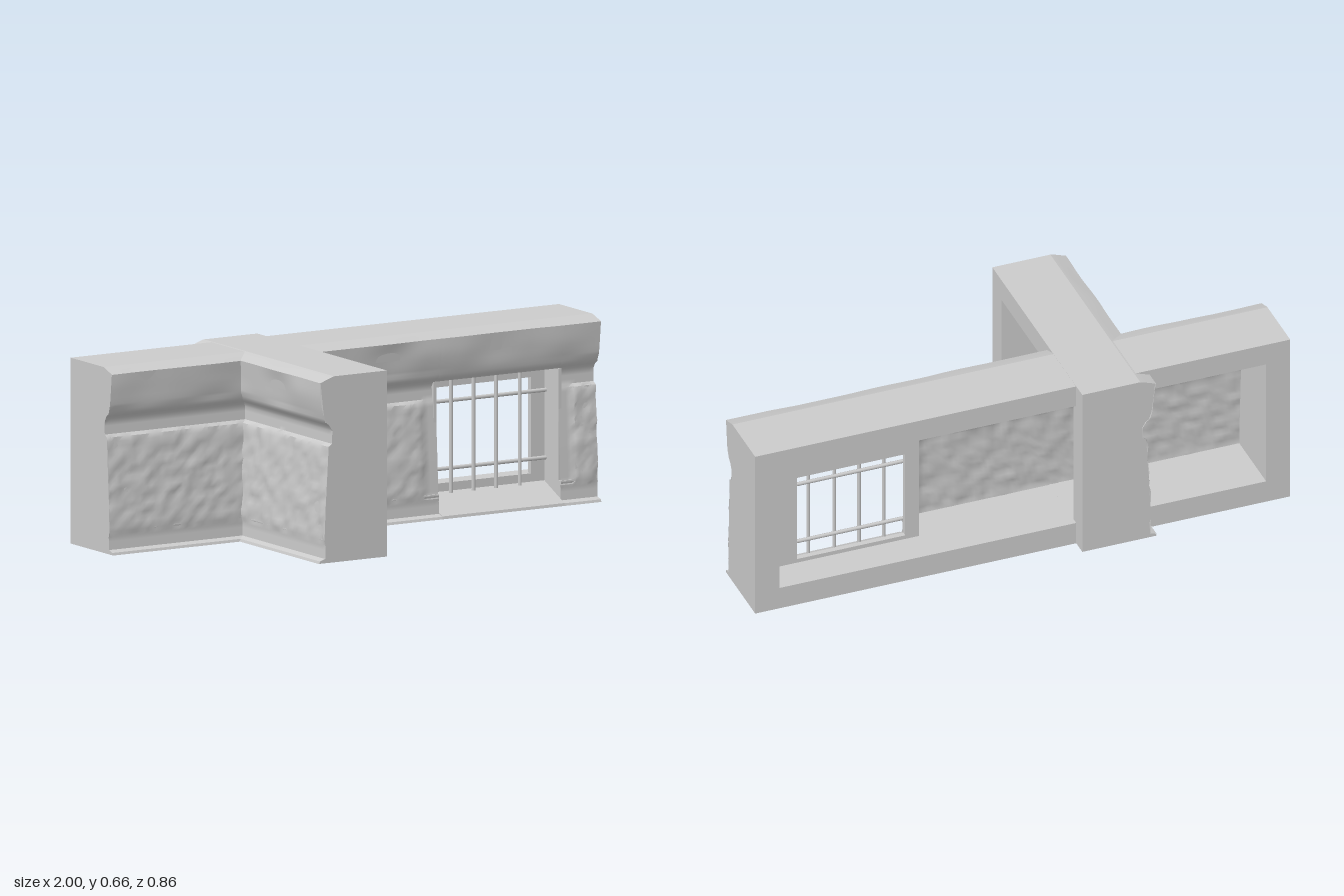
import * as THREE from 'three';
import { toCreasedNormals } from 'three/addons/utils/BufferGeometryUtils.js';

const H = 0.657, BACK = -0.37, OPEN_LOW = 0.085, OPEN_TOP = 0.575;
const stone = new THREE.MeshStandardMaterial({ color: 0xcccccc, side: THREE.DoubleSide });

// Front face section as [z, y], from the foot up to the cornice
const profile = [
  [-0.09, 0], [-0.093, 0.009], [-0.114, 0.016], [-0.116, 0.06], [-0.111, 0.08],
  [-0.116, 0.2], [-0.122, 0.3], [-0.128, 0.41], [-0.142, 0.42], [-0.143, 0.465],
  [-0.131, 0.485], [-0.117, 0.495], [-0.109, 0.522], [-0.106, 0.54],
  [-0.095, 0.638], [-0.14, 0.654], [-0.15, H],
];

function zAt(y) {
  for (let i = 1; i < profile.length; i++) {
    const [z0, y0] = profile[i - 1], [z1, y1] = profile[i];
    if (y <= y1) return z0 + (z1 - z0) * (y - y0) / (y1 - y0);
  }
  return profile.at(-1)[0];
}

// Seeded value noise, -1..1
function hash(i, j) {
  const s = Math.sin(i * 127.1 + j * 311.7 + 4.3) * 43758.5453;
  return (s - Math.floor(s)) * 2 - 1;
}
function noise(u, v) {
  const i = Math.floor(u), j = Math.floor(v);
  const f = THREE.MathUtils.smoothstep(u - i, 0, 1), g = THREE.MathUtils.smoothstep(v - j, 0, 1);
  const { lerp } = THREE.MathUtils;
  return lerp(lerp(hash(i, j), hash(i + 1, j), f), lerp(hash(i, j + 1), hash(i + 1, j + 1), f), g);
}

// Profile heights between two levels, subdivided
function levels(y0, y1) {
  const ys = [y0, ...profile.map(p => p[1]).filter(y => y > y0 && y < y1), y1];
  const out = [y0];
  for (let i = 1; i < ys.length; i++) {
    const n = Math.ceil((ys[i] - ys[i - 1]) / 0.016);
    for (let k = 1; k <= n; k++) out.push(ys[i - 1] + (ys[i] - ys[i - 1]) * k / n);
  }
  return out;
}

// Relief depth: rough plaster panels set between smooth strips, uneven cornice edge
function relief(x, y, strips) {
  const step = THREE.MathUtils.smoothstep;
  let z = zAt(y);
  if (y > 0.07 && y < 0.42) {
    let m = step(y, 0.07, 0.085) * (1 - step(y, 0.405, 0.42));
    for (const [a, b] of strips) m *= 1 - step(x, a - 0.012, a) * (1 - step(x, b, b + 0.012));
    z += 0.004 * m * noise(x * 32, y * 32) + 0.002 * m * noise(x * 70, y * 70) - 0.008 * (1 - m);
  } else if (y > 0.52 && y < 0.65) {
    z += 0.005 * noise(x * 7, y * 12);
  }
  return z;
}

function reliefSurface(x0, x1, y0, strips) {
  const ys = levels(y0, H), n = Math.ceil((x1 - x0) / 0.016), pos = [], idx = [], w = ys.length;
  for (let i = 0; i <= n; i++) {
    const x = x0 + (x1 - x0) * i / n;
    for (const y of ys) pos.push(x, y, relief(x, y, strips));
  }
  for (let i = 0; i < n; i++) for (let j = 0; j < w - 1; j++) {
    const a = i * w + j, b = a + w;
    idx.push(a, b, b + 1, a, b + 1, a + 1);
  }
  const g = new THREE.BufferGeometry();
  g.setAttribute('position', new THREE.Float32BufferAttribute(pos, 3));
  g.setIndex(idx);
  return toCreasedNormals(g, 0.7);
}

function add(group, name, geometry) {
  const mesh = new THREE.Mesh(geometry, stone);
  mesh.name = name;
  group.add(mesh);
  return mesh;
}

// A [z, y] section run along x
function run(section, x0, x1) {
  const shape = new THREE.Shape(section.map(([z, y]) => new THREE.Vector2(-z, y)));
  return new THREE.ExtrudeGeometry(shape, { depth: x1 - x0, bevelEnabled: false })
    .rotateY(Math.PI / 2).translate(x0, 0, 0);
}

// Solid section behind the relief, between two heights
function slice(y0, y1) {
  const mid = profile.filter(p => p[1] > y0 && p[1] < y1);
  const front = [[zAt(y0), y0], ...mid, [zAt(y1), y1]].map(([z, y]) => [z - 0.003, y]);
  return [[BACK, y0], ...front, [BACK, y1]];
}

// Hollow wall: two posts, top rail, bottom rails and the relief skin
function buildWall(name, length, post, pieces, strips) {
  const g = new THREE.Group(), h = length / 2;
  g.name = name;
  add(g, 'endPost', run(slice(0, H), -h, -h + post));
  add(g, 'endPost', run(slice(0, H), h - post, h));
  add(g, 'topRail', run(slice(OPEN_TOP, H), -h + post, h - post));
  for (const [x0, x1, y0] of pieces) {
    add(g, 'reliefFace', reliefSurface(x0, x1, y0, strips));
    const a = Math.max(x0, -h + post), b = Math.min(x1, h - post);
    if (y0 === 0) add(g, 'bottomRail', run(slice(0, OPEN_LOW), a, b));
  }
  return g;
}

function box(x0, x1, y0, y1, z0, z1) {
  return new THREE.BoxGeometry(x1 - x0, y1 - y0, z1 - z0)
    .translate((x0 + x1) / 2, (y0 + y1) / 2, (z0 + z1) / 2);
}

// Recessed window with a sloping sill and barred opening
function buildWindow() {
  const g = new THREE.Group(), L = 0.35, R = 0.85, T = 0.48, D = -0.245;
  g.name = 'barredWindow';
  add(g, 'sill', run([[BACK, 0], [-0.09, 0], [-0.092, 0.01], [-0.235, 0.075], [D, OPEN_LOW], [BACK, OPEN_LOW]], L, R));
  add(g, 'leftReveal', box(R, R + 0.012, 0.012, T, D, -0.132));
  add(g, 'rightReveal', box(L - 0.012, L, 0.012, T, D, -0.132));
  add(g, 'lintel', box(L - 0.012, R + 0.012, T, T + 0.01, D, -0.14));

  const plate = new THREE.Shape([[L, 0.07], [R, 0.07], [R, T], [L, T]].map(p => new THREE.Vector2(...p)));
  plate.holes.push(new THREE.Path([[0.39, 0.1], [0.39, 0.44], [0.795, 0.44], [0.795, 0.1]].map(p => new THREE.Vector2(...p))));
  add(g, 'windowFrame', new THREE.ExtrudeGeometry(plate, { depth: 0.02, bevelEnabled: false }).translate(0, 0, D));

  for (const x of [0.455, 0.547, 0.64, 0.737]) {
    add(g, 'uprightBar', new THREE.CylinderGeometry(0.007, 0.007, 0.41, 8)).position.set(x, 0.272, -0.205);
  }
  for (const y of [0.153, 0.392]) {
    const bar = add(g, 'crossBar', new THREE.CylinderGeometry(0.007, 0.007, R - L, 8));
    bar.rotation.z = Math.PI / 2;
    bar.position.set((L + R) / 2, y, -0.215);
  }
  return g;
}

export function createModel() {
  const model = new THREE.Group();
  model.name = 'wallJunction';

  const main = buildWall('mainWall', 2, 0.09, [[-1, 0.35, 0], [0.35, 0.85, 0.48], [0.85, 1, 0]], [[0.295, 0.9]]);
  main.add(buildWindow());
  model.add(main);

  // Shorter wall crossing at right angles, its relief facing -x
  const cross = buildWall('crossWall', 0.856, 0.085, [[-0.428, 0.428, 0]], []);
  cross.rotation.y = -Math.PI / 2;
  cross.position.x = -0.57;
  cross.scale.y = 1.001;
  model.add(cross);
  return model;
}
